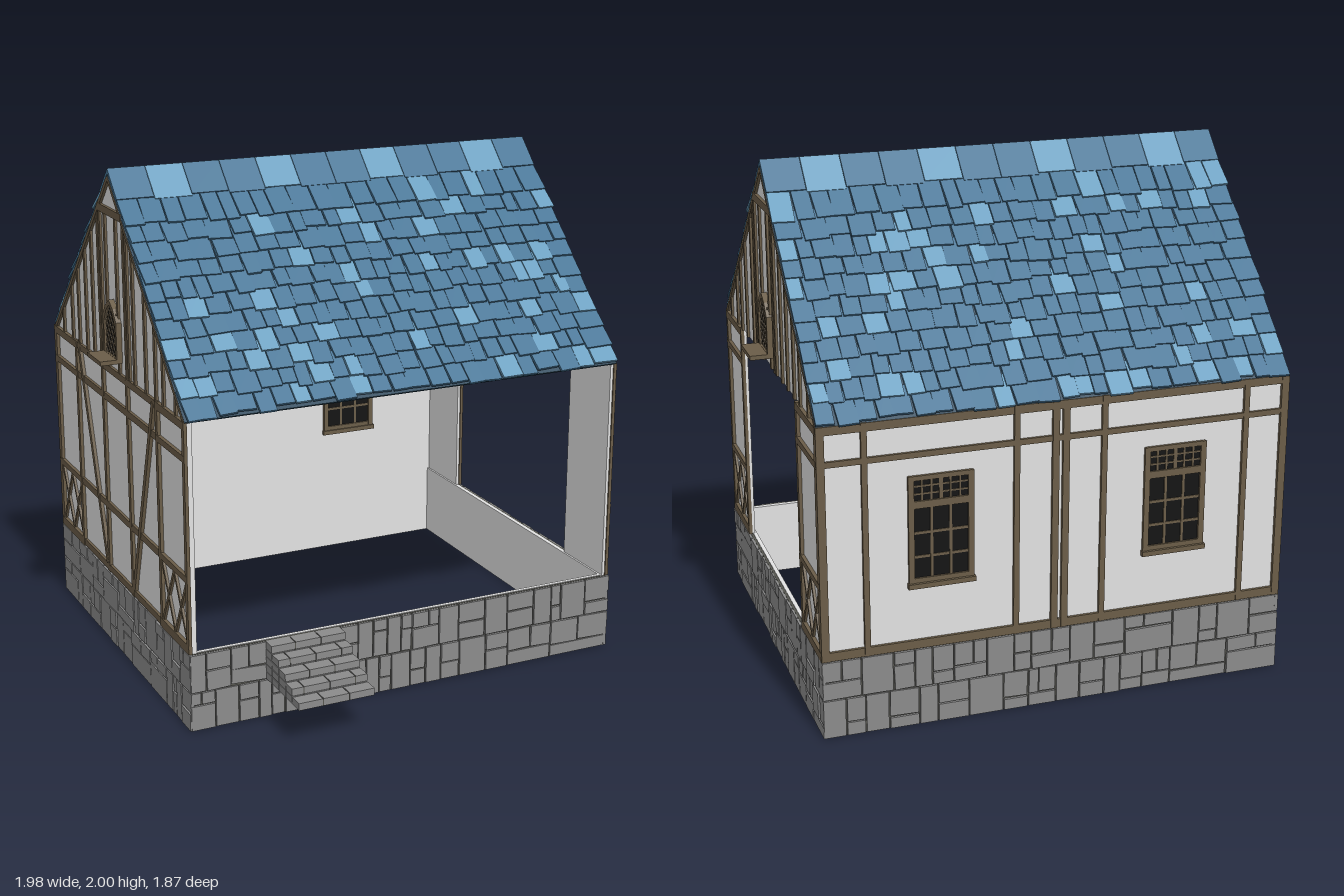
import * as THREE from 'three';
import { mergeGeometries } from 'three/addons/utils/BufferGeometryUtils.js';

const mat = (name, color) => {
  const m = new THREE.MeshStandardMaterial({ color });
  m.name = name;
  return m;
};
const M = {
  plaster: mat('plaster', 0xe2e2e2),
  timber: mat('timber', 0x6b5d48),
  glass: mat('darkGlass', 0x141414),
  stone: mat('stone', 0x8b8b8b),
  mortar: mat('mortar', 0x55554f),
  tile: mat('blueTile', 0x467596),
  tileLight: mat('lightBlueTile', 0x6a9fc0),
  tileDark: mat('roofUnderlay', 0x27475c),
};

// Half extents of the house body, and main heights
const HX = 0.9, HZ = 0.76, BASE = 0.31, EAVE = 1.205, RISE = 0.765, CENTRE_Z = -0.145;

let seed = 7;
const rnd = (a = 0, b = 1) => {
  seed = (seed * 16807) % 2147483647;
  return a + (b - a) * (seed / 2147483647);
};

const box = (x0, x1, y0, y1, z0, z1) =>
  new THREE.BoxGeometry(x1 - x0, y1 - y0, z1 - z0).translate((x0 + x1) / 2, (y0 + y1) / 2, (z0 + z1) / 2);

// Straight bar between two points of a wall plane
function bar(u0, v0, u1, v1, w, z0, z1) {
  const g = new THREE.BoxGeometry(Math.hypot(u1 - u0, v1 - v0), w, z1 - z0);
  return g.rotateZ(Math.atan2(v1 - v0, u1 - u0)).translate((u0 + u1) / 2, (v0 + v1) / 2, (z0 + z1) / 2);
}

function add(parent, name, geos, material) {
  const list = Array.isArray(geos) ? geos : [geos];
  if (!list.length) return;
  const mesh = new THREE.Mesh(list.length > 1 ? mergeGeometries(list) : list[0], material);
  mesh.name = name;
  parent.add(mesh);
}

// Wall frame: local x along the wall, y up, z = 0 on the outer face
function wallGroup(parent, name, angle, dist) {
  const g = new THREE.Group();
  g.name = name;
  g.rotation.y = angle;
  g.position.set(Math.sin(angle) * dist, 0, Math.cos(angle) * dist);
  parent.add(g);
  return g;
}

// Irregular stone courses over a plinth wall
function plinth(wall, half) {
  add(wall, 'plinthInnerFace', box(-half, half, 0, BASE, -0.02, -0.004), M.plaster);
  add(wall, 'plinthMortar', box(-half - 0.006, half + 0.006, 0.001, BASE - 0.002, -0.004, 0.006), M.mortar);
  const stones = [];
  const put = (x0, x1, y0, y1) => {
    const g = 0.003, s = box(-(x1 - x0) / 2 + g, (x1 - x0) / 2 - g, -(y1 - y0) / 2 + g, (y1 - y0) / 2 - g, 0, rnd(0.011, 0.017));
    const edge = y0 < 0.01 || y1 > BASE - 0.01;
    stones.push(s.rotateZ(edge ? 0 : rnd(-0.04, 0.04)).translate((x0 + x1) / 2, (y0 + y1) / 2, 0));
  };
  const end = half + 0.015;
  for (const [y0, y1] of [[0, 0.155], [0.155, BASE]]) {
    for (let x = -end; x < end - 0.001;) {
      let w = rnd(0.1, 0.24);
      if (end - x - w < 0.08) w = end - x;
      const m = y0 + (y1 - y0) * rnd(0.3, 0.7), c = x + w * rnd(0.35, 0.65);
      // each cell holds one split course or a tall stone beside two small ones
      if (rnd() < 0.5) {
        put(x, x + w, y0, m);
        put(x, c, m, y1);
        put(c, x + w, m, y1);
      } else {
        put(x, c, y0, y1);
        put(c, x + w, y0, m);
        put(c, x + w, m, y1);
      }
      x += w;
    }
  }
  add(wall, 'plinthStones', stones, M.stone);
}

// Framed corner bay with a crossed lattice below
function cornerBay(list, a, b) {
  for (const u of [a + 0.012, b - 0.012]) list.push(box(u - 0.012, u + 0.012, BASE, 1.21, 0, 0.013));
  for (const [v, w] of [[0.327, 0.035], [0.603, 0.025], [1.067, 0.025], [1.193, 0.03]])
    list.push(box(a, b, v - w / 2, v + w / 2, 0, 0.014));
  const c = (a + b) / 2;
  for (const [p, q] of [[a + 0.02, c], [c, b - 0.02]])
    list.push(bar(p, 0.345, q, 0.592, 0.014, 0, 0.009), bar(p, 0.592, q, 0.345, 0.014, 0, 0.01));
}

// Casement seen from both sides of the wall
function casement(wall, u) {
  const g = new THREE.Group();
  g.name = 'window';
  g.position.set(u, 0, -0.01);
  wall.add(g);
  add(g, 'windowPane', box(-0.115, 0.115, 0.57, 0.98, -0.013, 0.013), M.glass);
  const f = [];
  for (const s of [-1, 1]) f.push(bar(s * 0.113, 0.56, s * 0.113, 0.985, 0.022, -0.022, 0.022));
  for (const [v, w] of [[0.977, 0.018], [0.875, 0.028], [0.58, 0.02]]) f.push(bar(-0.12, v, 0.12, v, w, -0.021, 0.021));
  f.push(box(-0.128, 0.128, 0.553, 0.572, -0.028, 0.032));
  for (const x of [-0.036, 0.036]) f.push(bar(x, 0.58, x, 0.87, 0.01, -0.017, 0.017));
  for (const v of [0.672, 0.765]) f.push(bar(-0.11, v, 0.11, v, 0.01, -0.016, 0.016));
  for (let i = -2; i <= 2; i++) f.push(bar(i * 0.036, 0.88, i * 0.036, 0.975, i ? 0.007 : 0.014, -0.017, 0.017));
  for (const v of [0.915, 0.945]) f.push(bar(-0.11, v, 0.11, v, 0.006, -0.016, 0.016));
  add(g, 'windowFrame', f, M.timber);
}

const archShape = (w, y0, y1, C = THREE.Shape) => new C([[-w, y0], [w, y0], [w, y1 - 0.075], [w * 0.55, y1 - 0.028], [0, y1],
  [-w * 0.55, y1 - 0.028], [-w, y1 - 0.075]].map(p => new THREE.Vector2(...p)));

// Gable with studs, collar beam, rakes and a pointed lattice window; s mirrors it
function gable(wall, s) {
  const tri = new THREE.Shape([[-RISE, EAVE], [RISE, EAVE], [0, EAVE + RISE]].map(p => new THREE.Vector2(...p)));
  add(wall, 'gablePlaster', new THREE.ExtrudeGeometry(tri, { depth: 0.02, bevelEnabled: false }).translate(0, 0, -0.02), M.plaster);
  const studs = [0.67, 0.545, 0.465, 0.36, 0.235, 0.175, 0.145, 0.06, -0.065, -0.125, -0.155, -0.245, -0.335, -0.435, -0.525, -0.645];
  const t = studs.map(z => {
    const top = Math.min(EAVE + RISE - Math.abs(z) - 0.01, 1.83);
    return box(-s * z - 0.01, -s * z + 0.01, EAVE, top, 0, 0.009);
  });
  t.push(box(-0.14, 0.14, 1.815, 1.845, 0, 0.012));
  for (const k of [-1, 1]) t.push(bar(k * (RISE - 0.008), EAVE, 0, EAVE + RISE - 0.008, 0.018, 0, 0.011));
  add(wall, 'gableTimbers', t, M.timber);

  add(wall, 'gablePane', new THREE.ExtrudeGeometry(archShape(0.072, 1.255, 1.475), { depth: 0.012, bevelEnabled: false }), M.glass);
  const frame = archShape(0.08, 1.25, 1.488);
  frame.holes.push(archShape(0.064, 1.268, 1.468, THREE.Path));
  const f = [new THREE.ExtrudeGeometry(frame, { depth: 0.022, bevelEnabled: false }).toNonIndexed()];
  for (let c = 1.2; c < 1.56; c += 0.042) {
    for (const k of [-1, 1]) {
      const lo = Math.max(-0.066, (1.262 - c) / 1.2), hi = Math.min(0.066, (1.445 - c) / 1.2);
      if (hi - lo > 0.01) f.push(bar(k * lo, c + 1.2 * lo, k * hi, c + 1.2 * hi, 0.007, 0.01, 0.015).toNonIndexed());
    }
  }
  f.push(box(-0.08, 0.08, 1.25, 1.267, 0, 0.09).toNonIndexed());
  add(wall, 'gableWindowFrameAndShelf', f, M.timber);
}

// One roof slope: local y runs up the slope, z is its normal
function roofSlope(house, name, angle) {
  const turn = new THREE.Group(), slope = new THREE.Group();
  turn.name = name;
  slope.name = name + 'Tiles';
  turn.rotation.y = angle;
  slope.rotation.x = -Math.PI / 4;
  slope.position.set(0, EAVE, RISE);
  turn.add(slope);
  house.add(turn);
  const L = RISE * Math.SQRT2, W = 0.91;
  add(slope, 'roofUnderlay', box(-W, W, 0, L, -0.004, 0.005), M.tileDark);
  const plain = [], light = [];
  for (let r = 0; r < 11; r++) {
    for (let x = -W; x < W - 0.001;) {
      let w = rnd(0.055, 0.1);
      if (W - x - w < 0.045) w = W - x;
      const len = 0.115 + rnd(0, 0.022);
      const t = box(-w / 2 + 0.002, w / 2 - 0.002, -len, 0, 0, 0.011);
      t.rotateX(-0.09).rotateZ(rnd(-0.05, 0.05)).translate(x + w / 2, 0.125 + r * 0.083, 0.003 + rnd(0, 0.003));
      (rnd() < 0.17 ? light : plain).push(t);
      x += w;
    }
  }
  // large ridge tiles
  for (let i = 0; i < 12; i++) {
    const w = W / 6, x = -W + i * w, k = Math.min(i, 11 - i);
    (k === 1 || k === 4 ? light : plain).push(box(x + 0.001, x + w - 0.001, L - 0.125 - 0.01 * (k % 2), L + 0.019, 0.004, 0.019));
  }
  add(slope, 'tiles', plain, M.tile);
  add(slope, 'lightTiles', light, M.tileLight);
}

// Brick steps, stacked courses getting shorter towards the top
function steps(root) {
  const g = new THREE.Group();
  g.name = 'steps';
  root.add(g);
  const bricks = [], core = [], d = 0.062, h = 0.031;
  for (let i = 0; i < 5; i++) {
    const y = 0.155 + i * h, front = 0.93 - i * d;
    core.push(box(-0.606, -0.304, y, y + h - 0.004, 0.61, front - 0.005));
    for (let j = i; j < 5; j++) {
      const z = 0.93 - j * d, cuts = j % 2 ? [0, 0.05, 0.155, 0.26, 0.31] : [0, 0.1, 0.205, 0.31];
      for (let c = 0; c + 1 < cuts.length; c++)
        bricks.push(box(-0.61 + cuts[c] + 0.002, -0.61 + cuts[c + 1] - 0.002, y + 0.002, y + h - 0.001, z - d + 0.002, z - 0.002));
    }
  }
  add(g, 'stepCore', core, M.mortar);
  add(g, 'stepBricks', bricks, M.stone);
}

export function createModel() {
  const root = new THREE.Group();
  root.name = 'house';
  const house = new THREE.Group();
  house.name = 'houseBody';
  house.position.z = CENTRE_Z;
  root.add(house);

  const front = wallGroup(house, 'frontWall', 0, HZ);
  const back = wallGroup(house, 'backWall', Math.PI, HZ);
  const left = wallGroup(house, 'leftWall', Math.PI / 2, HX);
  const right = wallGroup(house, 'rightWall', -Math.PI / 2, HX);
  for (const [w, half] of [[front, HX], [back, HX], [left, HZ], [right, HZ]]) plinth(w, half);

  // Open left side: only the two corner bays
  const bays = [];
  for (const [a, b] of [[-0.765, -0.465], [0.465, 0.765]]) {
    add(left, 'cornerPlaster', box(a + 0.005, b - 0.005, BASE, 1.21, -0.012, 0), M.plaster);
    cornerBay(bays, a, b);
  }
  add(left, 'cornerTimbers', bays, M.timber);
  gable(left, 1);

  // Closed right side: corner bays, middle studs, rails and braces
  add(right, 'rightPlaster', box(-HZ, HZ, BASE, 1.21, -0.02, 0), M.plaster);
  const rt = [];
  cornerBay(rt, -0.765, -0.465);
  cornerBay(rt, 0.465, 0.765);
  for (const v of [0.327, 0.603, 1.067, 1.193]) rt.push(box(-0.465, 0.465, v - 0.014, v + 0.014, 0, 0.011));
  for (const k of [-1, 1])
    rt.push(box(k * 0.145 - 0.012, k * 0.145 + 0.012, BASE, 1.2, 0, 0.012), bar(k * 0.44, 1.19, k * 0.16, 0.34, 0.025, 0, 0.013));
  add(right, 'rightTimbers', rt, M.timber);
  gable(right, -1);

  // Back wall with two casements
  add(back, 'backPlaster', box(-HX, HX, BASE, 1.21, -0.02, 0), M.plaster);
  const bt = [];
  for (const k of [-1, 1]) {
    for (const [u, w] of [[0.898, 0.03], [0.74, 0.022], [0.17, 0.022], [0.02, 0.026]])
      bt.push(bar(k * u, BASE, k * u, 1.21, w, 0, 0.013));
    casement(back, k * 0.457);
  }
  for (const [v, w] of [[0.327, 0.034], [1.067, 0.022], [1.193, 0.032]]) bt.push(bar(-0.91, v, 0.91, v, w, 0, 0.011));
  add(back, 'backTimbers', bt, M.timber);

  add(house, 'ceiling', box(-HX, HX, 1.205, 1.215, -HZ, HZ), M.timber);
  roofSlope(house, 'frontRoof', 0);
  roofSlope(house, 'backRoof', Math.PI);
  steps(root);
  return root;
}
